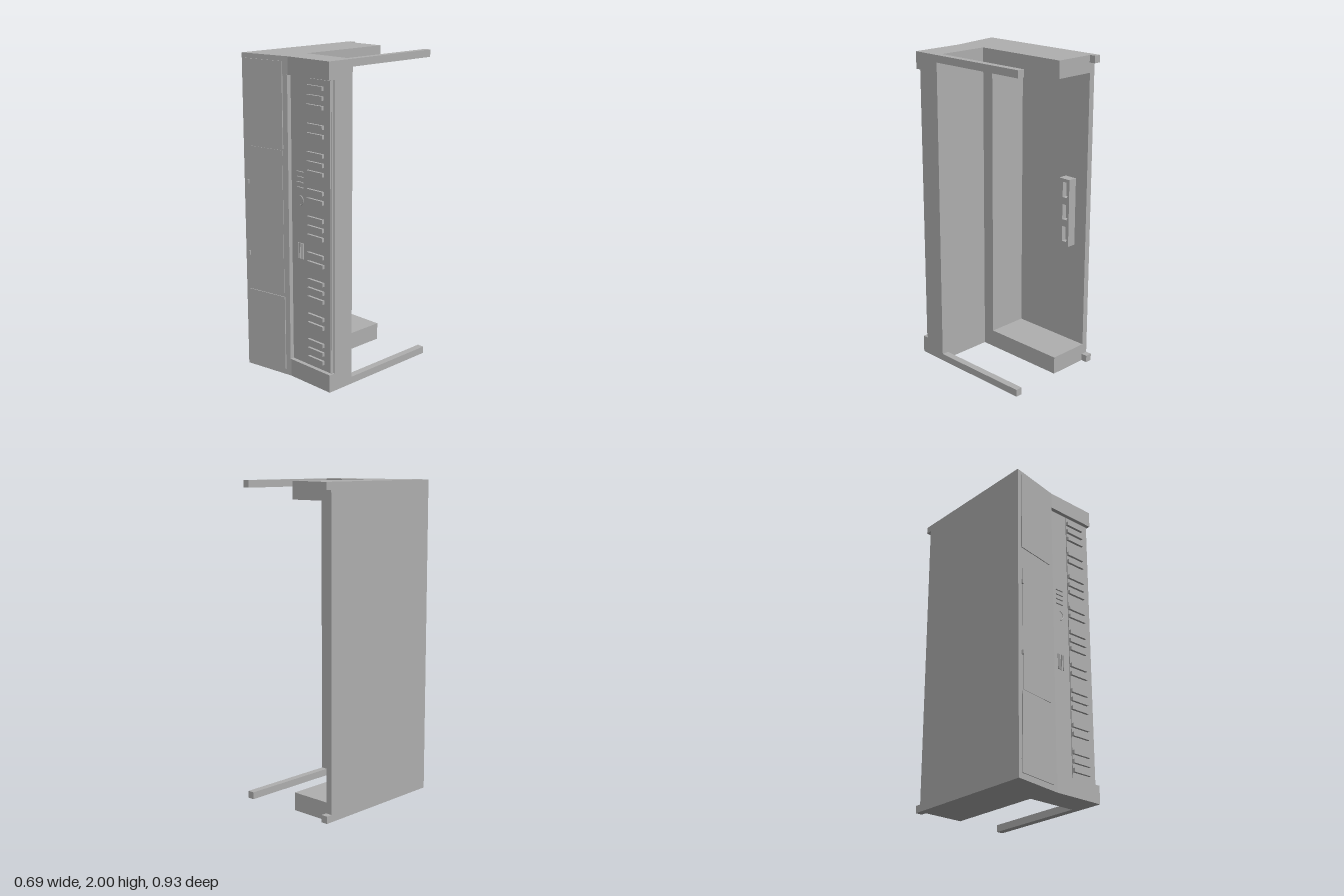
import * as THREE from 'three';

export function createModel() {
  const model = new THREE.Group();
  const grey = new THREE.MeshStandardMaterial({ color: 0xb0b0b0 });
  grey.name = 'plain grey';

  const add = (name, geometry) => {
    const mesh = new THREE.Mesh(geometry, grey);
    mesh.name = name;
    model.add(mesh);
    return mesh;
  };
  // Box given by its limits on each axis
  const box = (name, x0, x1, y0, y1, z0, z1) => {
    const mesh = add(name, new THREE.BoxGeometry(x1 - x0, y1 - y0, z1 - z0));
    mesh.position.set((x0 + x1) / 2, (y0 + y1) / 2, (z0 + z1) / 2);
    return mesh;
  };
  // Plan outline of [x, z] points raised from y0 to y1
  const prism = (name, points, y0, y1) => {
    const shape = new THREE.Shape(points.map(([x, z]) => new THREE.Vector2(x, -z)));
    const geometry = new THREE.ExtrudeGeometry(shape, { depth: y1 - y0, bevelEnabled: false });
    geometry.rotateX(-Math.PI / 2).translate(0, y0, 0);
    return add(name, geometry);
  };
  const slope = (x) => 0.397 - x * 0.168; // z of the slanted front

  // Casing: solid ends, with a rear cavity and a key recess between them
  const endPlan = [[-0.345, -0.425], [-0.345, 0.455], [0, 0.397], [0.345, 0.397],
    [0.345, 0.21], [-0.035, 0.21], [-0.035, -0.425]];
  prism('lowerEnd', endPlan, 0, 0.113);
  prism('upperEnd', endPlan, 1.893, 2);
  prism('casing', [[-0.345, -0.425], [-0.345, 0.455], [-0.005, 0.398], [-0.005, 0.355],
    [0.345, 0.355], [0.345, 0.21], [-0.035, 0.21], [-0.035, 0.13],
    [-0.305, 0.13], [-0.305, -0.425]], 0.113, 1.893);

  // Long legs and short feet at both ends
  for (const [y0, y1] of [[0, 0.045], [1.955, 2]]) {
    box('leg', 0.3, 0.345, y0, y1, -0.465, 0.21);
    box('foot', -0.345, -0.3, y0, y1, -0.465, -0.425);
  }

  // Slanted front panels
  const panel = (name, x0, x1, y0, y1, rise) => prism(name, [
    [x0, slope(x0) - 0.01], [x0, slope(x0) + rise],
    [x1, slope(x1) + rise], [x1, slope(x1) - 0.01]], y0, y1);
  panel('lowerPanel', -0.315, -0.04, 0.035, 0.517, 0.006);
  panel('middlePanel', -0.305, -0.046, 0.527, 1.44, 0.003);
  panel('upperPanel', -0.315, -0.04, 1.45, 1.97, 0.006);
  for (const y of [0.755, 1.215]) {
    box('catch', -0.316, -0.305, y - 0.013, y + 0.013, 0.445, 0.461).rotation.y = 0.17;
  }

  // Keyboard: bed, long keys and groups of three and two short keys
  box('keyBed', -0.005, 0.335, 0.113, 1.893, 0.35, 0.371);
  box('longKeys', 0.147, 0.332, 0.118, 1.888, 0.365, 0.377);
  for (let step = 0; step <= 30; step++) {
    if ([3, 6].includes(step % 7)) continue;
    const y = 1.84 - step * 0.0557;
    box('shortKey', 0.147, 0.28, y - 0.012, y + 0.012, 0.37, 0.393);
  }

  // Small controls beside the keys
  for (let i = 0; i < 4; i++) {
    box('slider', 0.045, 0.1, 1.227 + i * 0.032, 1.232 + i * 0.032, 0.365, 0.38);
    box('switch', 0.05 + i * 0.014, 0.055 + i * 0.014, 0.785, 0.885, 0.365, 0.378);
  }
  const dial = add('dial', new THREE.TorusGeometry(0.03, 0.003, 6, 16, Math.PI));
  dial.rotation.z = -Math.PI / 2;
  dial.position.set(0.07, 1.15, 0.375);

  // Socket strip in the cavity, with three clipped openings
  const strip = new THREE.Shape([[0.25, 0.78], [0.335, 0.78], [0.335, 1.22], [0.25, 1.22]]
    .map(([x, y]) => new THREE.Vector2(x, y)));
  for (const y of [0.858, 1.003, 1.149]) {
    strip.holes.push(new THREE.Path([[0.281, -0.05], [0.281, 0.05], [0.315, 0.05],
      [0.329, 0.025], [0.329, -0.025], [0.315, -0.05]]
      .map(([x, dy]) => new THREE.Vector2(x, y + dy))));
  }
  const face = new THREE.ExtrudeGeometry(strip, { depth: 0.035, bevelEnabled: false });
  face.rotateY(Math.PI / 2).translate(-0.28, 0, 0);
  add('socketFace', face);
  box('socketBase', -0.305, -0.28, 0.78, 1.22, -0.335, -0.25);

  return model;
}
